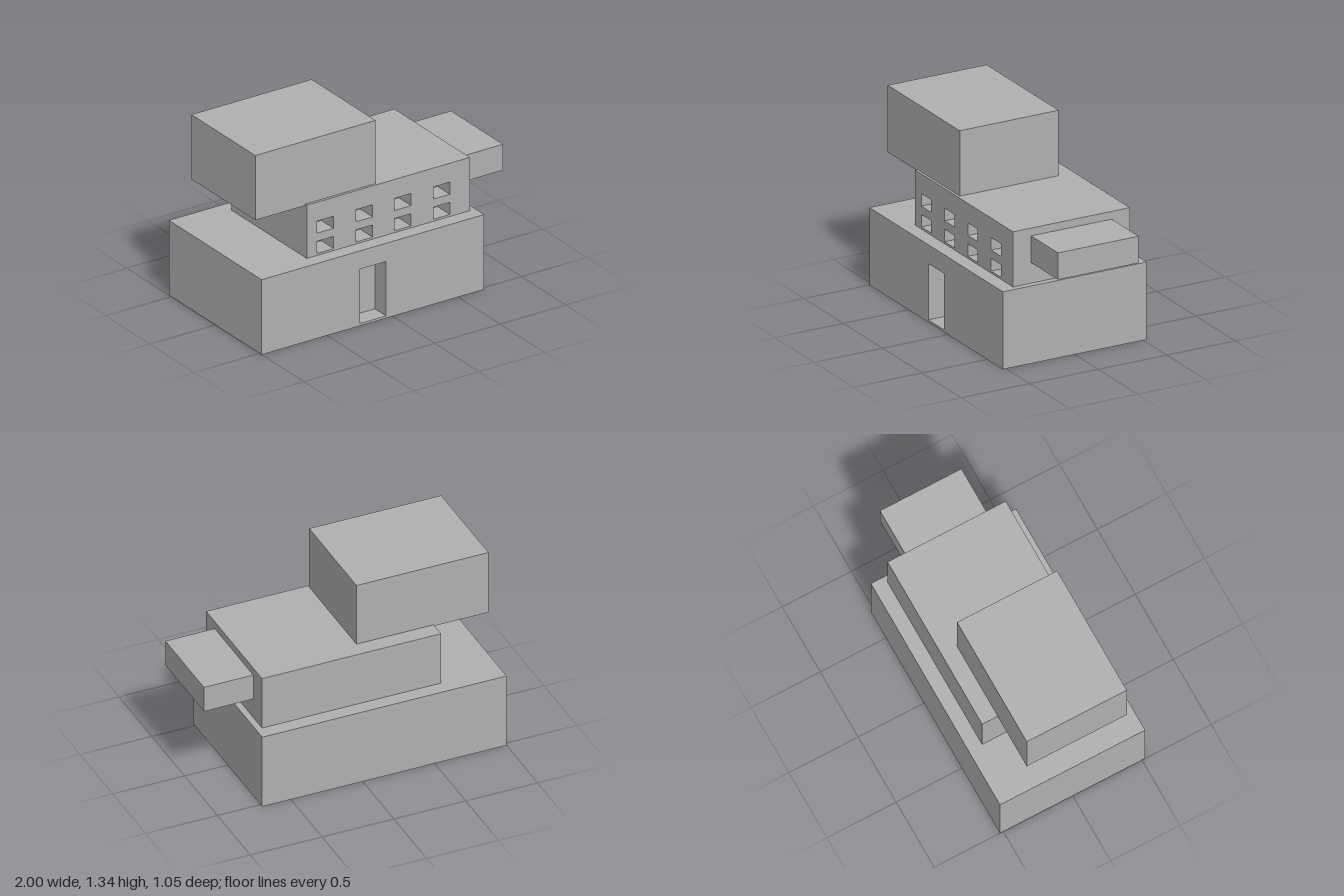
import * as THREE from 'three';

const concrete = new THREE.MeshStandardMaterial({ color: 0xb0b0b0 });
concrete.name = 'concrete grey';

function addMesh(parent, name, geometry) {
  const mesh = new THREE.Mesh(geometry, concrete);
  mesh.name = name;
  parent.add(mesh);
  return mesh;
}

// Box given by its lower and upper limits on each axis
function block([x0, x1], [y0, y1], [z0, z1]) {
  return new THREE.BoxGeometry(x1 - x0, y1 - y0, z1 - z0)
    .translate((x0 + x1) / 2, (y0 + y1) / 2, (z0 + z1) / 2);
}

// Box without its front (+z) face; inward turns it into a niche lining
function openBlock(x, y, z, inward = false) {
  const g = block(x, y, z);
  const index = Array.from(g.index.array).filter((_, i) => i < 24 || i >= 30);
  if (inward) {
    index.reverse();
    const n = g.attributes.normal;
    for (let i = 0; i < n.count; i++) n.setXYZ(i, -n.getX(i), -n.getY(i), -n.getZ(i));
  }
  g.clearGroups();
  g.setIndex(index);
  return g;
}

function rectangle(path, [x0, x1], [y0, y1]) {
  path.moveTo(x0, y0).lineTo(x1, y0).lineTo(x1, y1).lineTo(x0, y1).closePath();
  return path;
}

// Storey whose front wall has recessed rectangular openings
function storey(name, x, y, z, openings, openingName, depth) {
  const group = new THREE.Group();
  group.name = name;
  addMesh(group, name + 'Walls', openBlock(x, y, z));
  const front = rectangle(new THREE.Shape(), x, y);
  for (const [ox, oy] of openings) {
    front.holes.push(rectangle(new THREE.Path(), ox, oy));
    addMesh(group, openingName, openBlock(ox, oy, [z[1] - depth, z[1]], true));
  }
  addMesh(group, name + 'Front', new THREE.ShapeGeometry(front).translate(0, 0, z[1]));
  return group;
}

export function createModel() {
  const model = new THREE.Group();
  model.name = 'building';

  // Ground floor with the door niche
  const door = [[-0.25, -0.05], [0.016, 0.398]];
  model.add(storey('groundFloor', [-1, 0.7], [0, 0.526], [-0.525, 0.523], [door], 'doorway', 0.125));

  // Middle floor with two rows of four windows
  const windows = [];
  for (const y of [0.54, 0.682]) {
    for (const x of [-0.51, -0.212, 0.082, 0.378]) windows.push([[x, x + 0.126], [y, y + 0.085]]);
  }
  model.add(storey('middleFloor', [-0.589, 0.657], [0.526, 0.9], [-0.428, 0.425], windows, 'windowRecess', 0.14));

  // Overhanging top block and the side wing
  addMesh(model, 'topBlock', block([-0.97, -0.052], [0.89, 1.344], [-0.315, 0.407]));
  addMesh(model, 'sideWing', block([0.64, 1], [0.665, 0.847], [-0.295, 0.293]));

  return model;
}
